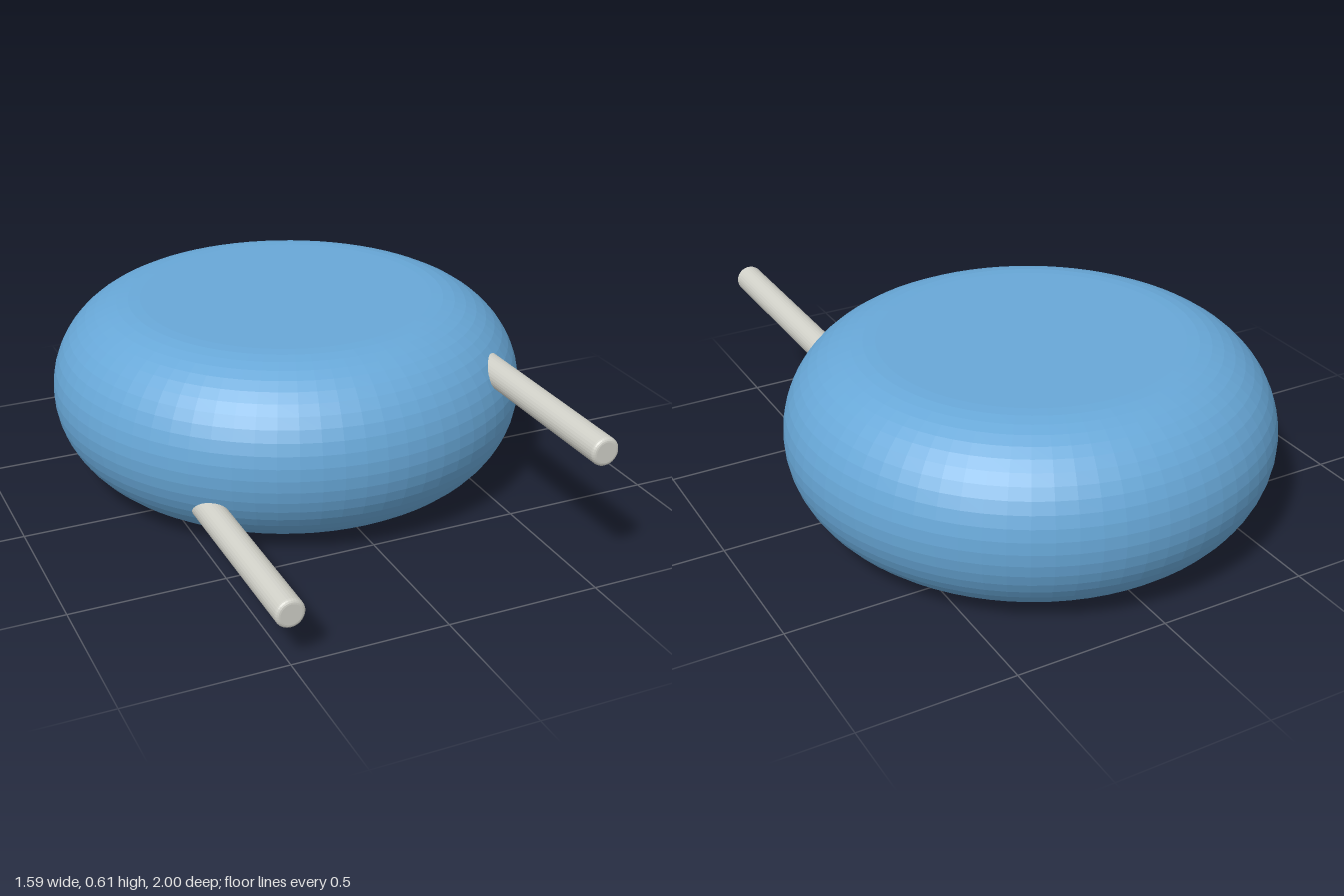
import * as THREE from 'three';

const BODY_RADIUS = 0.797, BODY_HEIGHT = 0.61, BODY_Z = -0.203;
const PIN_RADIUS = 0.046, PIN_BEVEL = 0.013, PIN_BACK = 0.15, PIN_FRONT = 1;

// Quarter-arc points around (cx, cy), from angle a0 to a1
function arc(cx, cy, r, a0, a1, steps) {
  return Array.from({ length: steps + 1 }, (_, i) => {
    const a = a0 + ((a1 - a0) * i) / steps;
    return new THREE.Vector2(cx + r * Math.cos(a), cy + r * Math.sin(a));
  });
}

// Disc or rod profile with rounded rims, standing on y = 0
function roundedProfile(radius, height, bevel, steps) {
  const c = radius - bevel;
  return [
    new THREE.Vector2(0, 0),
    ...arc(c, bevel, bevel, -Math.PI / 2, 0, steps),
    ...arc(c, height - bevel, bevel, 0, Math.PI / 2, steps)
      .slice(height > 2 * bevel ? 0 : 1),
    new THREE.Vector2(0, height),
  ];
}

export function createModel() {
  const group = new THREE.Group();
  const blue = new THREE.MeshStandardMaterial({ color: 0x68a8d8, flatShading: true });
  const pale = new THREE.MeshStandardMaterial({ color: 0xd0d0c8, flatShading: true });

  // Thick disc whose rim is a full half-round
  const body = new THREE.Mesh(
    new THREE.LatheGeometry(roundedProfile(BODY_RADIUS, BODY_HEIGHT, BODY_HEIGHT / 2, 12), 72), blue);
  body.name = 'body';
  body.position.z = BODY_Z;
  group.add(body);

  // Two parallel leads leaving the front at different heights
  const pinGeometry = new THREE.LatheGeometry(
    roundedProfile(PIN_RADIUS, PIN_FRONT - PIN_BACK, PIN_BEVEL, 4), 32);
  pinGeometry.rotateX(Math.PI / 2);
  for (const [name, x, y] of [['leftLead', 0.497, 0.456], ['rightLead', -0.497, 0.163]]) {
    const pin = new THREE.Mesh(pinGeometry, pale);
    pin.name = name;
    pin.position.set(x, y, PIN_BACK);
    group.add(pin);
  }
  return group;
}
